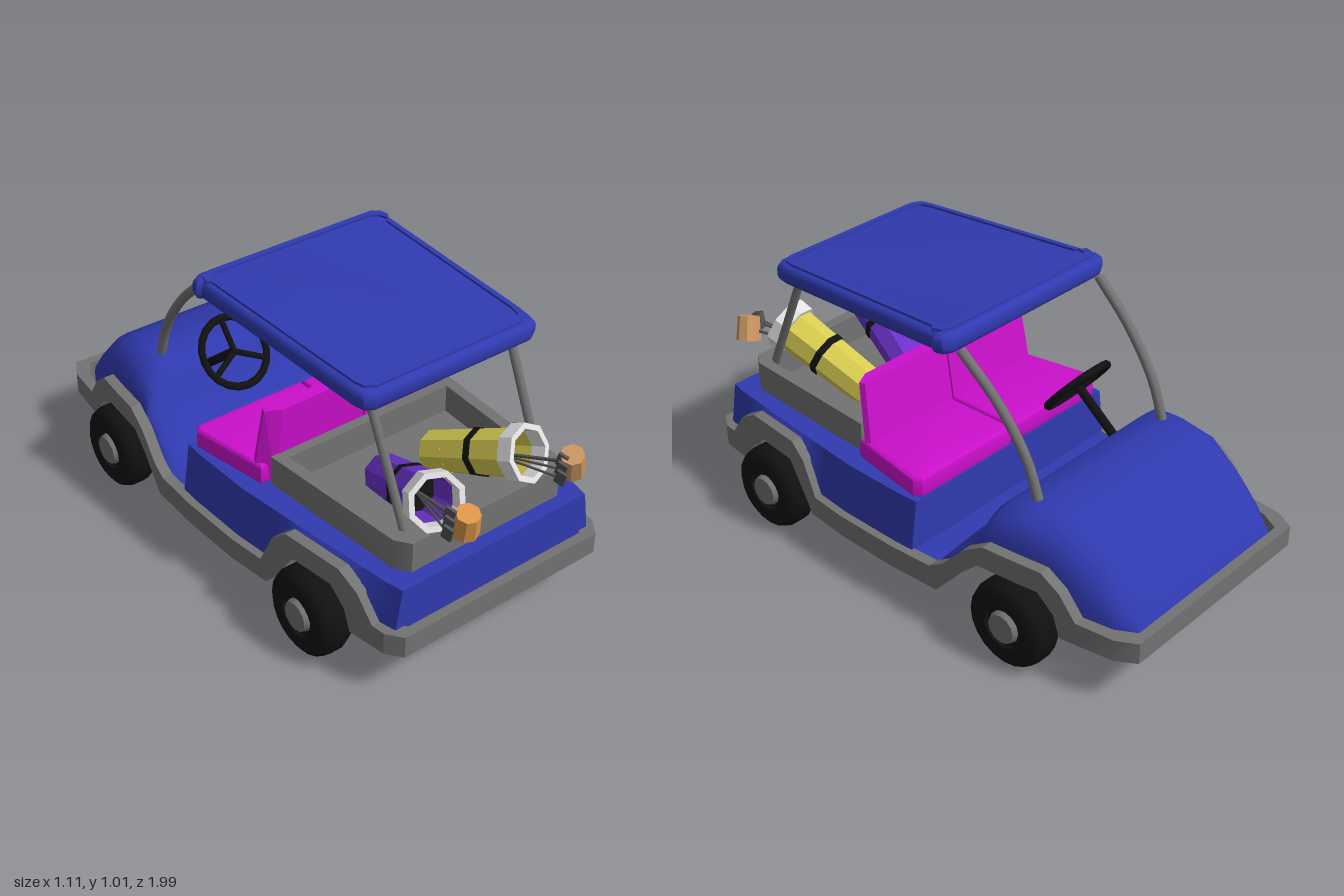
import * as THREE from 'three';
import { toCreasedNormals } from 'three/addons/utils/BufferGeometryUtils.js';

const mat = (name, color, side = THREE.FrontSide) => {
  const m = new THREE.MeshStandardMaterial({ color, side });
  m.name = name;
  return m;
};
const V = (x, y, z) => new THREE.Vector3(x, y, z);

// value at z from a table of [z, value] sorted by falling z
function at(table, z) {
  for (let i = 1; i < table.length; i++) {
    const [z0, a] = table[i - 1], [z1, b] = table[i];
    if (z >= z1) return a + (b - a) * Math.min(1, Math.max(0, (z0 - z) / (z0 - z1)));
  }
  return table[table.length - 1][1];
}

// skin over rows of points, optionally closed along or across the rows
function loft(rows, crease, closeRows = false, closeAcross = false) {
  const n = rows[0].length, pos = rows.flat().flatMap(p => [p.x, p.y, p.z]), idx = [];
  for (let i = 0; i < rows.length - (closeRows ? 0 : 1); i++) {
    for (let j = 0; j < n - (closeAcross ? 0 : 1); j++) {
      const i2 = (i + 1) % rows.length, j2 = (j + 1) % n;
      const a = i * n + j, b = i * n + j2, c = i2 * n + j2, d = i2 * n + j;
      idx.push(a, c, b, a, d, c);
    }
  }
  const g = new THREE.BufferGeometry();
  g.setAttribute('position', new THREE.Float32BufferAttribute(pos, 3));
  g.setIndex(idx);
  return toCreasedNormals(g, crease);
}

// plan outline of [x, z] points raised from y0 by h
function slab(pts, y0, h, bevel = 0, hole = null) {
  const to2 = p => p.map(([x, z]) => new THREE.Vector2(x, -z));
  const s = new THREE.Shape(to2(pts));
  if (hole) s.holes.push(new THREE.Path(to2(hole)));
  const g = new THREE.ExtrudeGeometry(s, {
    depth: h - 2 * bevel, bevelEnabled: bevel > 0, bevelSize: bevel, bevelThickness: bevel,
    bevelOffset: -bevel, bevelSegments: 3,
  });
  g.rotateX(-Math.PI / 2).translate(0, y0 + bevel, 0);
  return toCreasedNormals(g, 0.6);
}
const mirrored = half => [...half, ...half.map(([x, z]) => [-x, z]).reverse()];

// half width of the bumper, and its upper and lower edges, along z
const PLAN = [[0.945, 0.41], [0.89, 0.45], [0.43, 0.505], [0.2, 0.53], [-0.05, 0.535], [-0.25, 0.525],
  [-0.56, 0.495], [-0.93, 0.45], [-1, 0.41]];
const TOP = [[0.945, 0.255], [0.84, 0.255], [0.775, 0.345], [0.695, 0.392], [0.46, 0.395], [0.4, 0.345],
  [0.34, 0.22], [-0.22, 0.22], [-0.28, 0.255], [-0.36, 0.345], [-0.44, 0.392], [-0.66, 0.392],
  [-0.73, 0.34], [-0.79, 0.255], [-1, 0.255]];
const LOW = [[0.945, 0.175], [0.745, 0.17], [0.72, 0.25], [0.66, 0.312], [0.48, 0.312], [0.41, 0.21],
  [0.365, 0.14], [-0.25, 0.135], [-0.29, 0.18], [-0.35, 0.25], [-0.42, 0.312], [-0.65, 0.312],
  [-0.71, 0.25], [-0.735, 0.17], [-1, 0.178]];

export function createModel() {
  const root = new THREE.Group();
  root.name = 'golfCart';
  const blue = mat('blue paint', 0x303ab0, THREE.DoubleSide);
  const grey = mat('grey trim', 0x727272, THREE.DoubleSide);
  const magenta = mat('magenta seat', 0xcc10cc);
  const black = mat('black rubber', 0x111111);
  const purple = mat('purple bag', 0x6c32cc, THREE.DoubleSide);
  const yellow = mat('yellow bag', 0xd8cc50, THREE.DoubleSide);
  const white = mat('white rim', 0xe2e2e2, THREE.DoubleSide);
  const orange = mat('orange cover', 0xe0984a);
  const tan = mat('tan cover', 0xcb9762);
  const steel = mat('dark steel', 0x555555);

  const add = (name, geo, material, parent = root) => {
    const m = new THREE.Mesh(geo, material);
    m.name = name;
    parent.add(m);
    return m;
  };
  const tube = (name, pts, r, material, parent = root) =>
    add(name, new THREE.TubeGeometry(new THREE.CatmullRomCurve3(pts), pts.length > 2 ? 12 : 1, r, 8), material, parent);

  // bumper band with wheel arches, running round the whole cart
  const zs = [...new Set([...PLAN, ...TOP, ...LOW].map(p => p[0]))].sort((a, b) => b - a);
  const band = (z, s) => {
    const x = at(PLAN, z), t = at(TOP, z), l = at(LOW, z);
    const zi = Math.abs(z) > 0.85 ? z - Math.sign(z) * 0.035 : z;
    return [V(s * x, l, z), V(s * x, t, z), V(s * (x - 0.04), t, zi), V(s * (x - 0.04), l, zi)];
  };
  add('bumperBand', loft([...zs.map(z => band(z, 1)), ...zs.slice().reverse().map(z => band(z, -1))],
    0.5, true, true), grey);

  // seat and cargo body, open below
  const bodyRow = (z, flat) => {
    const w = at(PLAN, z), yb = flat ? 0.2 : at(TOP, z) - 0.03, yt = flat ? 0.2 : 0.4;
    return [V(w - 0.025, yb, z), V(w - 0.055, yt, z), V(0.055 - w, yt, z), V(0.025 - w, yb, z)];
  };
  const bodyZ = [0.9, ...zs.filter(z => z < 0.89 && z > -0.12), -0.12];
  add('body', loft([bodyRow(0.9, true), ...bodyZ.map(z => bodyRow(z)), bodyRow(-0.12, true)], 0.4), blue);
  add('footwell', slab(mirrored([[0.505, -0.11], [0.495, -0.24]]), 0.2, 0.015), blue);

  // hood and dash: rows of [z, half width, crown height]
  const hood = [[-0.22, 0.495, 0.22], [-0.3, 0.485, 0.32], [-0.38, 0.475, 0.39], [-0.4, 0.472, 0.465],
    [-0.44, 0.468, 0.505], [-0.53, 0.455, 0.52], [-0.67, 0.44, 0.51], [-0.77, 0.425, 0.46],
    [-0.81, 0.417, 0.435], [-0.88, 0.4, 0.36], [-0.95, 0.36, 0.275], [-0.97, 0.33, 0.22]];
  add('hood', loft(hood.map(([z, w, top]) => {
    const yb = Math.min(at(TOP, z) - 0.03, top - 0.01), half = [];
    for (let k = 0; k <= 6; k++) {
      const a = (k / 6) * Math.PI / 2;
      half.push([w - 0.13 * (1 - Math.cos(a)), yb + (top - yb) * Math.sin(a) ** 0.8]);
    }
    return [...half.map(([x, y]) => V(x, y, z)), ...half.reverse().map(([x, y]) => V(-x, y, z))];
  }), 0.75), blue);

  // cargo tray
  const trayOut = mirrored([[0.385, 0.23], [0.345, 0.8], [0.31, 0.85]]);
  const trayIn = mirrored([[0.34, 0.27], [0.305, 0.77], [0.28, 0.805]]);
  add('cargoTray', slab(trayOut, 0.385, 0.125, 0, trayIn), grey);
  add('cargoFloor', slab(trayIn, 0.401, 0.006), grey);

  // two seats, each a cushion and a leaning backrest
  for (const s of [1, -1]) {
    const side = pts => pts.map(([x, z]) => [s * x, z]);
    add('seatCushion', slab(side([[0.003, -0.115], [0.44, -0.115], [0.46, -0.09], [0.412, 0.21], [0.003, 0.21]]),
      0.39, 0.082, 0.015), magenta);
    const back = slab(side([[0.003, 0.15], [0.41, 0.15], [0.418, 0.17], [0.36, 0.225], [0.003, 0.225]]), 0.39, 0.295);
    const p = back.attributes.position;
    for (let i = 0; i < p.count; i++) {
      const t = (p.getY(i) - 0.39) / 0.295, front = p.getZ(i) < 0.2;
      p.setXYZ(i, p.getX(i) * (1 - 0.05 * t), p.getY(i), p.getZ(i) + t * (front ? 0.045 : 0.018));
    }
    back.computeVertexNormals();
    add('seatBackrest', back, magenta);
  }

  // canopy with a raised rim
  const roof = k => mirrored([[0.39, -0.17], [0.36, 0.57], [0.35, 0.61], [0.315, 0.63]]
    .concat([]).map(([x, z]) => [x * k, 0.2 + (z - 0.2) * k]).reverse()
    .concat([[0.405 * k, 0.2 - 0.38 * k], [0.395 * k, 0.2 - 0.415 * k], [0.36 * k, 0.2 - 0.435 * k]]));
  const canopy = new THREE.Group();
  canopy.name = 'canopy';
  canopy.rotation.x = 0.045;
  root.add(canopy);
  add('canopySlab', slab(roof(1), 0.922, 0.072, 0.025), blue, canopy);
  add('canopyRim', slab(roof(0.94), 0.988, 0.014, 0, roof(0.89)), blue, canopy);

  for (const s of [1, -1]) {
    // canopy posts
    tube('cargoPost', [V(s * 0.285, 0.49, 0.785), V(s * 0.288, 0.92, 0.595)], 0.015, grey);
    tube('hoodPost', [V(s * 0.322, 0.49, -0.52), V(s * 0.325, 0.65, -0.46), V(s * 0.332, 0.81, -0.345),
      V(s * 0.342, 0.945, -0.2)], 0.017, grey);

    // wheels
    for (const z of [0.575, -0.56]) {
      const wheel = new THREE.Group();
      wheel.name = 'wheel';
      wheel.position.set(s * 0.485, 0.157, z);
      wheel.rotation.z = -s * Math.PI / 2;
      root.add(wheel);
      const tire = [[0, -0.065], [0.11, -0.068], [0.14, -0.055], [0.155, -0.025], [0.155, 0.025], [0.145, 0.05],
        [0.12, 0.066], [0.075, 0.062], [0.07, 0.05], [0, 0.05]];
      add('tire', toCreasedNormals(new THREE.LatheGeometry(tire.map(p => new THREE.Vector2(...p)), 20), 0.7), black, wheel);
      add('hub', new THREE.CylinderGeometry(0.052, 0.062, 0.025, 12).translate(0, 0.056, 0), grey, wheel);
    }
  }

  // steering wheel and column
  const steering = new THREE.Group();
  steering.name = 'steering';
  steering.position.set(-0.19, 0.6, -0.245);
  steering.rotation.x = -0.69;
  root.add(steering);
  add('steeringRing', new THREE.TorusGeometry(0.125, 0.014, 6, 20), black, steering);
  for (let i = 0; i < 3; i++) {
    const a = Math.PI / 2 + i * Math.PI * 2 / 3;
    tube('steeringSpoke', [V(0, 0, 0), V(0.125 * Math.cos(a), 0.125 * Math.sin(a), 0)], 0.011, black, steering);
  }
  tube('steeringColumn', [V(-0.19, 0.605, -0.24), V(-0.19, 0.46, -0.42)], 0.016, black);

  // golf bag from its base to its mouth, with a covered club and three irons
  const bag = (name, base, mouth, cloth, cover, head, lean, iron) => {
    const g = new THREE.Group(), dir = mouth.clone().sub(base), len = dir.length();
    g.name = name;
    g.position.copy(base);
    g.quaternion.setFromUnitVectors(V(0, 1, 0), dir.normalize());
    root.add(g);
    const flat = geo => toCreasedNormals(geo, 0.3);
    add('bagCloth', flat(new THREE.CylinderGeometry(0.085, 0.072, len - 0.01, 8, 1, true).translate(0, len / 2, 0)), cloth, g);
    add('bagBase', new THREE.CircleGeometry(0.072, 8, Math.PI / 8).rotateX(Math.PI / 2).translate(0, 0.1, 0), cloth, g);
    add('bagStrap', flat(new THREE.CylinderGeometry(0.084, 0.083, 0.025, 8).translate(0, len * 0.52, 0)), black, g);
    const rim = [[0.08, -0.055], [0.098, -0.055], [0.1, 0], [0.08, 0], [0.08, -0.055]];
    add('bagRim', flat(new THREE.LatheGeometry(rim.map(([r, y]) => new THREE.Vector2(r, len + y)), 8)), white, g);
    const inside = base.clone().lerp(mouth, 0.6);
    tube('coveredShaft', [inside, head], 0.006, steel);
    const c = add('clubCover', flat(new THREE.CylinderGeometry(0.04, 0.046, 0.09, 8)), cover);
    c.position.copy(head);
    c.rotation.set(0.25, 0, lean);
    for (let i = 0; i < 3; i++) {
      const tip = iron.clone().add(V(i * 0.022, i * 0.012, -i * 0.02));
      tube('ironShaft', [inside, tip], 0.004, steel);
      const h = add('ironHead', new THREE.BoxGeometry(0.01, 0.06, 0.035), steel);
      h.position.copy(tip);
      h.rotation.set(0.3, 0.3, 0.15);
    }
  };
  bag('purpleBag', V(-0.09, 0.435, 0.45), V(-0.205, 0.61, 0.835), purple, orange,
    V(-0.18, 0.587, 0.94), 0.12, V(-0.27, 0.6, 0.955));
  bag('yellowBag', V(0.12, 0.435, 0.45), V(0.19, 0.61, 0.825), yellow, tan,
    V(0.285, 0.587, 0.92), 0.3, V(0.205, 0.58, 0.95));
  return root;
}
